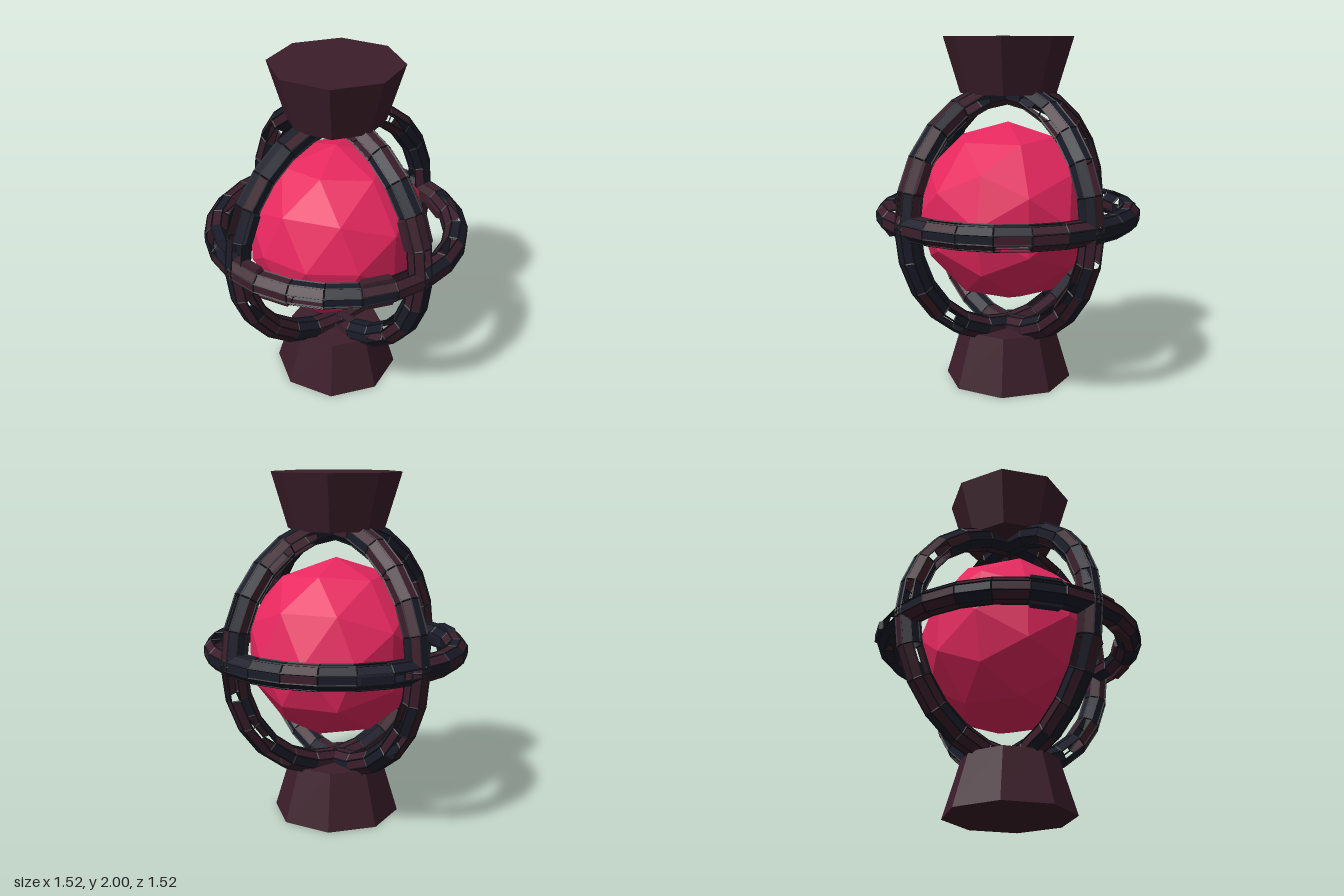
import * as THREE from 'three';
import { mergeGeometries } from 'three/addons/utils/BufferGeometryUtils.js';

const R = 0.6925;      // ring centre radius
const APOTHEM = 0.0625; // octagonal tube half thickness
const TUBE = APOTHEM / Math.cos(Math.PI / 8);
const SEG = 24, SIDES = 8;

const mat = (name, color, side = THREE.FrontSide) => {
  const m = new THREE.MeshStandardMaterial({ color, side });
  m.name = name;
  return m;
};

const facet = (geo) => {
  const g = geo.index ? geo.toNonIndexed() : geo;
  g.computeVertexNormals();
  return g;
};

const seeded = (seed) => () => {
  seed = (seed * 16807) % 2147483647;
  return seed / 2147483647;
};

// Corner of the ring's octagonal tube: i along the ring, j around the tube
function corner(i, j) {
  const a = (i / SEG) * Math.PI * 2, b = (j / SIDES) * Math.PI * 2;
  const r = R + TUBE * Math.cos(b);
  return new THREE.Vector3(r * Math.cos(a), r * Math.sin(a), TUBE * Math.sin(b));
}

function pushQuad(out, a, b, c, d) {
  for (const p of [a, b, c, a, c, d]) out.push(p.x, p.y, p.z);
}

// One plate of the ring; a lifted plate is a raised panel with sloping sides
function pushPlate(out, i, j, lift) {
  const base = [corner(i, j - 0.5), corner(i + 1, j - 0.5), corner(i + 1, j + 0.5), corner(i, j + 0.5)];
  if (!lift) return pushQuad(out, ...base);
  const n = base[1].clone().sub(base[0]).cross(base[3].clone().sub(base[0])).normalize();
  const mid = base[0].clone().add(base[2]).multiplyScalar(0.5);
  const top = base.map((p) => p.clone().lerp(mid, 0.12).addScaledVector(n, lift));
  pushQuad(out, ...top);
  for (let k = 0; k < 4; k++) {
    const m = (k + 1) % 4;
    pushQuad(out, base[k], base[m], top[m], top[k]);
  }
}

function plateMesh(positions, material, name) {
  const g = new THREE.BufferGeometry();
  g.setAttribute('position', new THREE.Float32BufferAttribute(positions, 3));
  g.computeVertexNormals();
  const mesh = new THREE.Mesh(g, material);
  mesh.name = name;
  return mesh;
}

// Thin bars along every edge of the tube
function frameGeometry() {
  const parts = [];
  for (let j = 0; j < SIDES; j++) {
    const b = ((j + 0.5) / SIDES) * Math.PI * 2;
    parts.push(new THREE.TorusGeometry(R + TUBE * Math.cos(b), 0.005, 4, SEG).translate(0, 0, TUBE * Math.sin(b)));
  }
  for (let i = 0; i < SEG; i++) {
    parts.push(new THREE.TorusGeometry(TUBE, 0.005, 4, SIDES)
      .rotateZ(Math.PI / 8).rotateX(Math.PI / 2).translate(R, 0, 0)
      .rotateZ((i / SEG) * Math.PI * 2));
  }
  return facet(mergeGeometries(parts));
}

// Plated ring in the xy plane. Pattern per segment: N navy, M maroon, - open on both flat faces
function makeRing(name, pattern, raised, seed, mats, frame) {
  const ring = new THREE.Group();
  ring.name = name;
  const rand = seeded(seed);
  const navy = [], maroon = [];
  for (let i = 0; i < SEG; i++) {
    for (let j = 0; j < SIDES; j++) {
      const roll = rand(), swap = rand() < 0.25;
      const lifted = raised.some(([a, b]) => a === i && b === j);
      const open = j % 4 === 2 ? pattern[i] === '-' : roll < 0.1;
      if (open && !lifted) continue;
      const isNavy = (pattern[i] === 'N') !== (swap && j !== 2);
      pushPlate(isNavy ? navy : maroon, i, j, lifted ? 0.022 : 0);
    }
  }
  const bars = new THREE.Mesh(frame, mats.black);
  bars.name = 'ringFrame';
  ring.add(plateMesh(navy, mats.navy, 'navyPlates'), plateMesh(maroon, mats.maroonPlate, 'maroonPlates'), bars);
  return ring;
}

export function createModel() {
  const model = new THREE.Group();
  model.name = 'cagedCore';
  const mats = {
    crimson: mat('crimson', 0xe7285f),
    maroon: mat('maroon', 0x3c1e2a),
    maroonPlate: mat('maroonPlate', 0x3c1e2a, THREE.DoubleSide),
    navy: mat('navy', 0x1a1c2a, THREE.DoubleSide),
    black: mat('black', 0x0e1015),
  };

  // Faceted core with one corner facing the front
  const coreGeo = new THREE.IcosahedronGeometry(0.523, 1)
    .rotateX(Math.atan(2 / (1 + Math.sqrt(5)))).rotateZ(Math.PI / 2);
  const core = new THREE.Mesh(facet(coreGeo), mats.crimson);
  core.name = 'core';
  core.position.y = 1;
  model.add(core);

  // Octagonal pedestals, mirrored top and bottom
  const H = 0.315;
  for (const [name, y, top, bottom] of [['lowerPedestal', H / 2, 0.275, 0.37], ['upperPedestal', 2 - H / 2, 0.37, 0.275]]) {
    const p = new THREE.Mesh(facet(new THREE.CylinderGeometry(top, bottom, H, 8)), mats.maroon);
    p.name = name;
    p.position.y = y;
    model.add(p);
  }

  // Three crossing rings
  const frame = frameGeometry();
  const front = makeRing('frontRing', 'M-NN-NNNM-MNN-MNMMMN-MNM',
    [[1, 2], [1, 6]], 4127, mats, frame);
  const side = makeRing('sideRing', 'NNN--NNNNNNNM-MMNMMMM--M',
    [[10, 2]], 90211, mats, frame);
  const level = makeRing('levelRing', 'M-N--MNNMN-NMMNMNNMMNNM-',
    [[10, 0], [4, 4], [21, 4], [16, 4], [18, 2], [16, 2], [16, 6], [19, 6], [22, 2], [22, 6]], 33791, mats, frame);
  side.rotation.y = Math.PI / 2;
  level.rotation.x = -Math.PI / 2;
  for (const ring of [front, side, level]) {
    ring.position.y = 1;
    model.add(ring);
  }
  return model;
}
